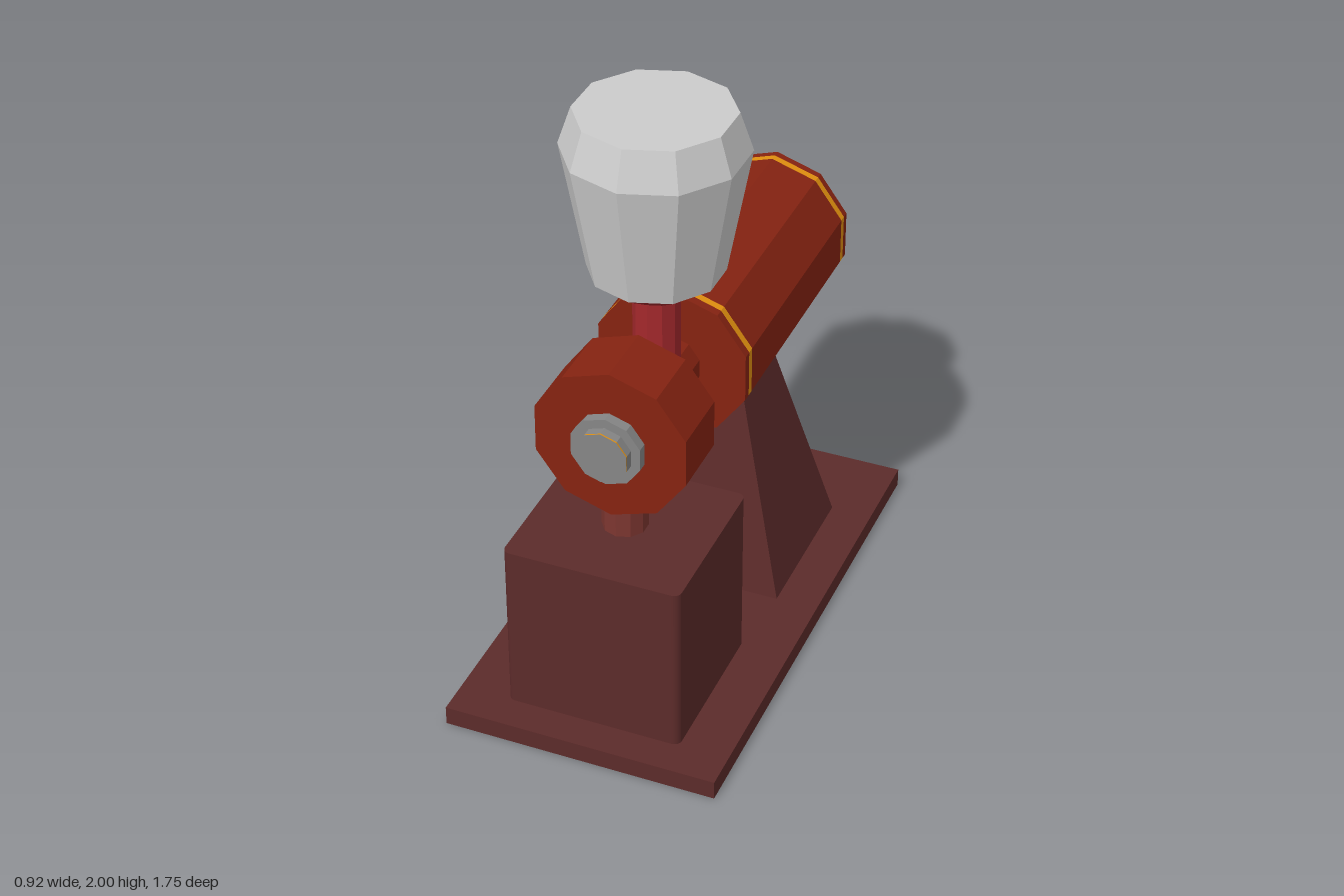
import * as THREE from 'three';

const SIDES = 10;
const AXIS_Y = 1.03; // height of the motor and pump axis

const mat = (color) => new THREE.MeshStandardMaterial({ color, flatShading: true });
const brown = mat(0x5c2b2a);
const rust = mat(0x862311);
const orange = mat(0xe2900f);
const crimson = mat(0xa3282c);
const pipeRed = mat(0x7d3630);
const steel = mat(0x868686);
const grey = mat(0xcccccc);

export function createModel() {
  const model = new THREE.Group();

  const add = (name, geometry, material, parent = model) => {
    const mesh = new THREE.Mesh(geometry, material);
    mesh.name = name;
    parent.add(mesh);
    return mesh;
  };

  // Ten-sided drum along z, from z0 (back) to z1 (front)
  const drum = (name, z0, z1, rBack, rFront, material, open = false) => {
    const g = new THREE.CylinderGeometry(rFront, rBack, z1 - z0, SIDES, 1, open);
    g.rotateX(Math.PI / 2);
    g.translate(0, AXIS_Y, (z0 + z1) / 2);
    return add(name, g, material);
  };

  // Ten-sided upright, from y0 to y1
  const upright = (name, y0, y1, r0, r1, z, material, open = false) => {
    const g = new THREE.CylinderGeometry(r1, r0, y1 - y0, SIDES, 1, open);
    g.translate(0, (y0 + y1) / 2, z);
    return add(name, g, material);
  };

  // Base plate
  add('basePlate', new THREE.BoxGeometry(0.92, 0.065, 1.75).translate(0, 0.0325, 0), brown);

  // Front pedestal with softened vertical corners
  const w = 0.295, d = 0.278, r = 0.025;
  const outline = new THREE.Shape();
  outline.absarc(w - r, d - r, r, 0, Math.PI / 2);
  outline.absarc(-w + r, d - r, r, Math.PI / 2, Math.PI);
  outline.absarc(-w + r, -d + r, r, Math.PI, Math.PI * 1.5);
  outline.absarc(w - r, -d + r, r, Math.PI * 1.5, Math.PI * 2);
  const pedestal = new THREE.ExtrudeGeometry(outline, { depth: 0.6, bevelEnabled: false, curveSegments: 3 });
  pedestal.rotateX(-Math.PI / 2).translate(0, 0.06, 0.482);
  add('frontPedestal', pedestal, brown);

  // Tapered support under the motor
  const support = new THREE.BoxGeometry(0.64, 0.89, 0.545);
  const p = support.attributes.position;
  for (let i = 0; i < p.count; i++) {
    if (p.getY(i) > 0) {
      p.setX(i, p.getX(i) * 0.28);
      p.setZ(i, p.getZ(i) * 0.38);
    }
  }
  support.translate(0, 0.06 + 0.445, -0.3075);
  add('motorSupport', support, brown);

  // Motor barrel with two flush bands
  const R = 0.263;
  drum('motorBackCap', -0.82, -0.795, R, R, rust);
  drum('motorBackBand', -0.795, -0.77, R, R, orange, true);
  drum('motorBarrel', -0.77, 0.05, R, R, rust);
  drum('motorFrontBand', 0.05, 0.075, R, R, orange, true);
  drum('motorFrontCap', 0.075, 0.105, R, R, rust);

  // Shaft housing and pump head
  drum('shaftHousing', 0.1, 0.35, 0.1, 0.1, rust);
  drum('pumpHeadBack', 0.338, 0.362, 0.095, 0.261, rust);
  drum('pumpHead', 0.362, 0.59, 0.261, 0.261, rust);

  // Stepped cap on the pump face
  drum('capFlange', 0.59, 0.625, 0.12, 0.12, steel);
  drum('capNut', 0.625, 0.655, 0.089, 0.089, steel);
  drum('capRim', 0.655, 0.66, 0.089, 0.089, orange, true);
  drum('capFace', 0.655, 0.66, 0.0885, 0.0885, steel);

  // Pipes below and above
  upright('lowerPipe', 0.65, 0.85, 0.074, 0.074, 0.482, pipeRed);
  upright('upperPipe', 1.03, 1.37, 0.075, 0.075, 0.222, crimson);

  // Bowl: funnel neck, flared body and tapered rim
  const bowlZ = 0.222;
  upright('bowlNeck', 1.36, 1.455, 0.075, 0.215, bowlZ, crimson);
  upright('bowlBody', 1.455, 1.875, 0.215, 0.292, bowlZ, grey, true);
  upright('bowlRim', 1.875, 2.0, 0.292, 0.25, bowlZ, grey);

  return model;
}
